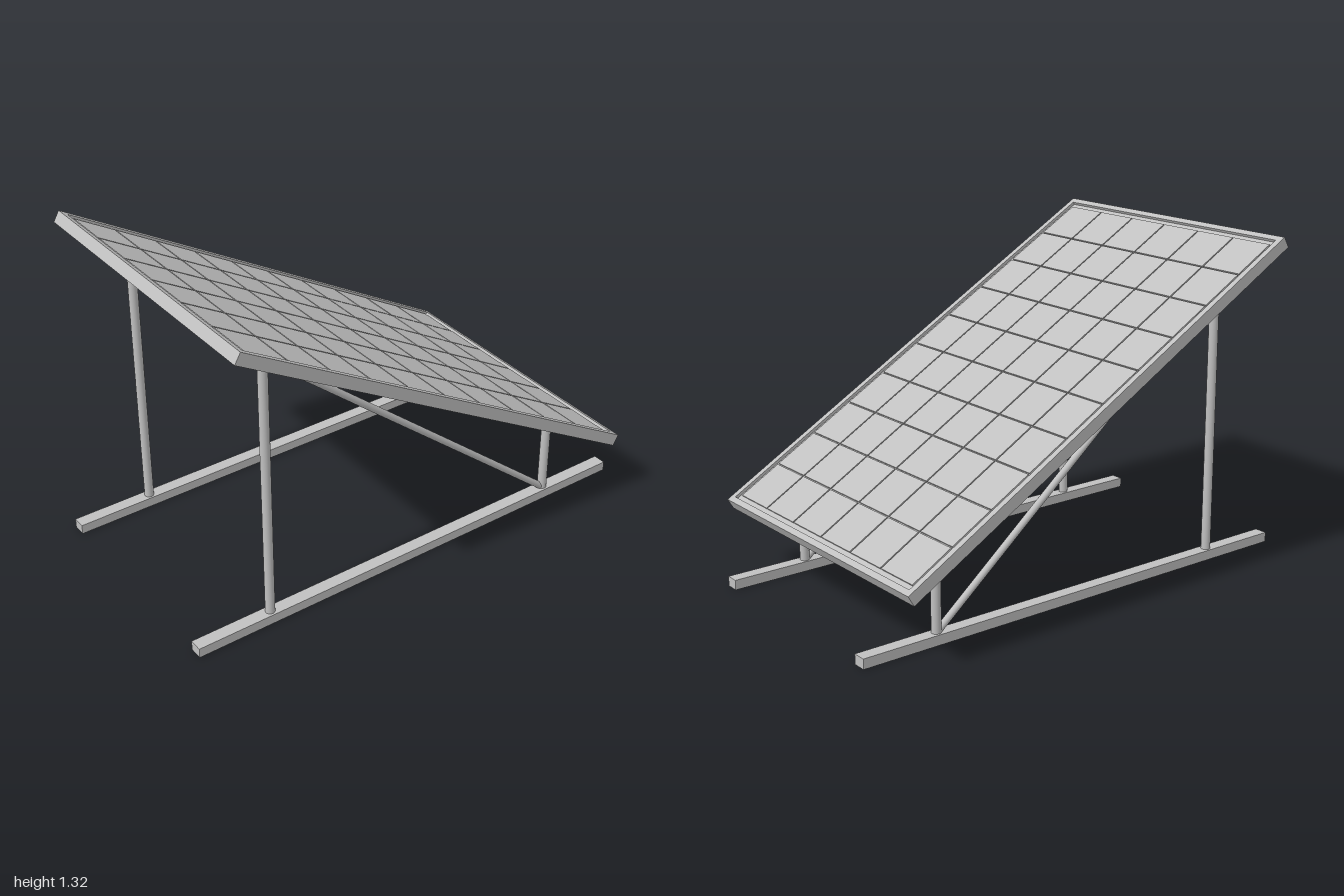
import * as THREE from 'three';

const metal = new THREE.MeshStandardMaterial({ color: 0xc0c0c0 });
metal.name = 'light grey metal';

function add(parent, geometry, name, x = 0, y = 0, z = 0) {
  const mesh = new THREE.Mesh(geometry, metal);
  mesh.name = name;
  mesh.position.set(x, y, z);
  parent.add(mesh);
  return mesh;
}

// Round tube between two points
function rod(parent, name, a, b, radius) {
  const dir = b.clone().sub(a);
  const mid = a.clone().add(b).multiplyScalar(0.5);
  const mesh = add(parent, new THREE.CylinderGeometry(radius, radius, dir.length(), 24), name, mid.x, mid.y, mid.z);
  mesh.quaternion.setFromUnitVectors(new THREE.Vector3(0, 1, 0), dir.normalize());
}

function rectangle(PathType, halfX, halfY) {
  const p = new PathType();
  p.moveTo(-halfX, -halfY);
  p.lineTo(halfX, -halfY);
  p.lineTo(halfX, halfY);
  p.lineTo(-halfX, halfY);
  p.closePath();
  return p;
}

function createPanel() {
  const panel = new THREE.Group();
  panel.name = 'solarPanel';
  const thick = 0.048, recess = 0.012, cellHeight = 0.006;

  // Rectangular rim
  const shape = rectangle(THREE.Shape, 0.625, 1.025);
  shape.holes.push(rectangle(THREE.Path, 0.6, 1.0));
  const rim = new THREE.ExtrudeGeometry(shape, { depth: thick, bevelEnabled: false });
  rim.translate(0, 0, -thick / 2);
  rim.rotateX(-Math.PI / 2);
  add(panel, rim, 'panelFrame');

  // Recessed backing sheet, flush with the underside
  add(panel, new THREE.BoxGeometry(1.2, thick - recess, 2.0), 'backingSheet', 0, -recess / 2, 0);

  // Raised cells, six across and ten along
  const pitch = 0.196;
  const cell = new THREE.BoxGeometry(pitch - 0.006, cellHeight, pitch - 0.006);
  const cellY = thick / 2 - recess + cellHeight / 2;
  for (let i = 0; i < 6; i++) {
    for (let j = 0; j < 10; j++) {
      add(panel, cell, 'cell', (i - 2.5) * pitch, cellY, (j - 4.5) * pitch);
    }
  }

  // Tilt so the +z end is high
  panel.position.set(0, 0.7875, -0.01);
  panel.rotation.x = -Math.PI / 6;
  return panel;
}

function createSupport(x, side) {
  const support = new THREE.Group();
  support.name = side + 'Support';
  const v = (y, z) => new THREE.Vector3(x, y, z);
  add(support, new THREE.BoxGeometry(0.054, 0.04, 2), 'groundRail', x, 0.02, 0);
  rod(support, 'tallPost', v(0.04, 0.675), v(1.15, 0.675), 0.019);
  rod(support, 'shortPost', v(0.04, -0.672), v(0.375, -0.672), 0.019);
  rod(support, 'diagonalBrace', v(1.14, 0.665), v(0.04, -0.67), 0.014);
  return support;
}

export function createModel() {
  const model = new THREE.Group();
  model.name = 'solarPanelStand';
  model.add(createPanel(), createSupport(0.45, 'left'), createSupport(-0.45, 'right'));
  return model;
}
